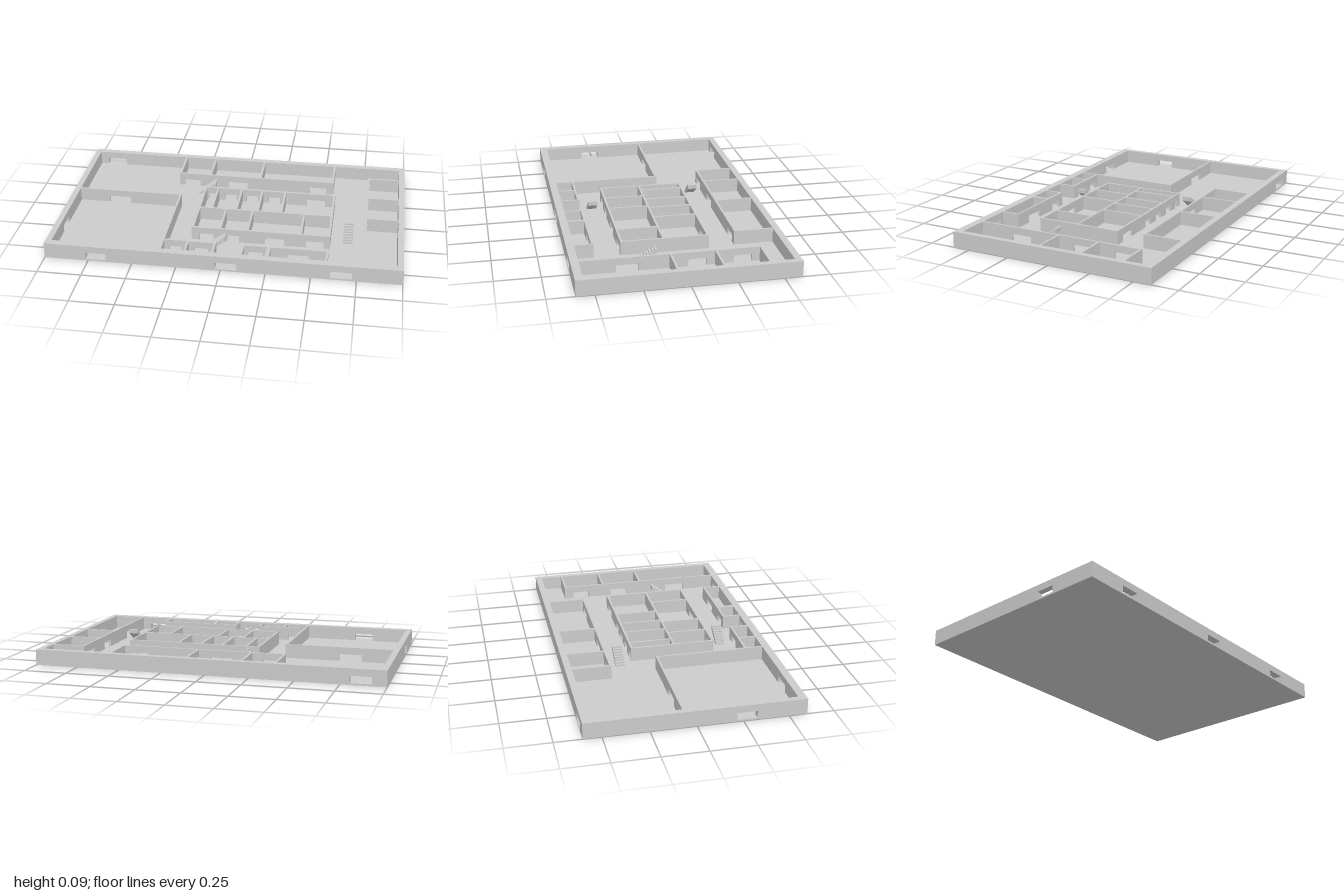
import * as THREE from 'three';

const FLOOR = 0.01, TOP = 0.09, DOOR_TOP = 0.05, THIN = 0.012;

export function createModel() {
  const model = new THREE.Group();
  const material = new THREE.MeshStandardMaterial({ color: 0xcccccc, flatShading: true });

  const add = (geometry, name) => {
    const mesh = new THREE.Mesh(geometry, material);
    mesh.name = name;
    model.add(mesh);
    return mesh;
  };

  // Wall from a to b along 'x' or 'z', centred on the other axis at c.
  // Each door is [centre, width] and cuts a notch up from the floor.
  const wall = (name, axis, c, a, b, doors = [], thick = THIN) => {
    const s = new THREE.Shape();
    s.moveTo(a, FLOOR);
    for (const [d, w] of doors) {
      s.lineTo(d - w / 2, FLOOR);
      s.lineTo(d - w / 2, DOOR_TOP);
      s.lineTo(d + w / 2, DOOR_TOP);
      s.lineTo(d + w / 2, FLOOR);
    }
    s.lineTo(b, FLOOR);
    s.lineTo(b, TOP);
    s.lineTo(a, TOP);
    s.closePath();
    const g = new THREE.ExtrudeGeometry(s, { depth: thick, bevelEnabled: false });
    g.translate(0, 0, -thick / 2);
    if (axis === 'z') {
      g.rotateY(-Math.PI / 2);
    }
    g.translate(axis === 'x' ? 0 : c, 0, axis === 'x' ? c : 0);
    return add(g, name);
  };

  // Floor slab
  add(new THREE.BoxGeometry(2, FLOOR, 1.2).translate(0, FLOOR / 2, 0), 'floor');

  // Outer walls with entrances
  wall('frontOuterWall', 'x', 0.578, -1, 1, [[-0.705, 0.115], [0.03, 0.12], [0.665, 0.12]], 0.044);
  wall('backOuterWall', 'x', -0.581, -1, 1, [[-0.86, 0.12]], 0.038);
  wall('rightOuterWall', 'z', -0.983, -0.562, 0.556, [[0.27, 0.11]], 0.034);
  wall('leftOuterWall', 'z', 0.983, -0.562, 0.556, [], 0.034);

  // Large hall in the front right corner
  wall('hallWall', 'x', -0.067, -0.966, -0.339, [[-0.72, 0.13]]);
  wall('hallWall', 'z', -0.345, -0.073, 0.556);

  // Row of rooms along the back
  wall('backRoomWall', 'x', -0.345, -0.401, 0.566, [[-0.32, 0.1], [-0.03, 0.12], [0.47, 0.1]]);
  for (const x of [-0.395, -0.205, 0.11, 0.56]) wall('backRoomDivider', 'z', x, -0.562, -0.345);

  // Central block: two rows of rooms back to back
  wall('centreBackWall', 'x', -0.185, -0.211, 0.586,
    [[-0.17, 0.04], [-0.055, 0.07], [0.08, 0.07], [0.215, 0.07], [0.47, 0.11]]);
  wall('centreMiddleWall', 'x', 0.065, -0.205, 0.58);
  wall('centreFrontWall', 'x', 0.298, -0.211, 0.586,
    [[-0.125, 0.08], [0.03, 0.07], [0.27, 0.11], [0.5, 0.1]]);
  for (const x of [-0.205, 0.58]) wall('centreEndWall', 'z', x, -0.185, 0.298);
  for (const x of [-0.13, 0.015, 0.142, 0.282]) wall('centreBackDivider', 'z', x, -0.185, 0.065);
  for (const x of [-0.045, 0.113, 0.418]) wall('centreFrontDivider', 'z', x, 0.065, 0.298);

  // Small rooms along the front
  wall('frontRoomWall', 'x', 0.456, -0.345, -0.044, [[-0.275, 0.07], [-0.13, 0.08]]);
  wall('frontRoomWall', 'x', 0.456, 0.104, 0.586, [[0.18, 0.08], [0.42, 0.12]]);
  for (const x of [-0.205, -0.05, 0.11, 0.58]) wall('frontRoomDivider', 'z', x, 0.456, 0.556);
  wall('frontRoomDivider', 'z', 0.254, 0.456, 0.556, [], 0.02);

  // Rooms along the left side
  wall('leftRoomWall', 'z', 0.78, -0.436, 0.556, [[-0.33, 0.1], [-0.08, 0.1], [0.3, 0.12]]);
  for (const z of [-0.43, -0.182, 0.065]) wall('leftRoomDivider', 'x', z, 0.78, 0.966);

  // Stair flight climbing towards +x: stepped top, sloping underside
  const STEPS = 8, RUN = 0.107, RISE = TOP - FLOOR;
  const profile = new THREE.Shape();
  profile.moveTo(0, FLOOR);
  for (let i = 0; i < STEPS; i++) {
    const y = FLOOR + (RISE * (i + 1)) / STEPS;
    profile.lineTo((RUN * i) / STEPS, y);
    profile.lineTo((RUN * (i + 1)) / STEPS, y);
  }
  profile.lineTo(RUN, TOP - 0.025);
  profile.lineTo(0.026, FLOOR);
  profile.closePath();
  const stairGeometry = new THREE.ExtrudeGeometry(profile, { depth: 0.054, bevelEnabled: false });
  stairGeometry.translate(-RUN / 2, 0, -0.027);
  for (const [x, z, turn] of [[-0.208, -0.264, 0], [-0.058, 0.374, 0], [0.684, 0.179, Math.PI / 2]]) {
    const stair = add(stairGeometry, 'stairs');
    stair.position.set(x, 0, z);
    stair.rotation.y = turn;
  }

  return model;
}
